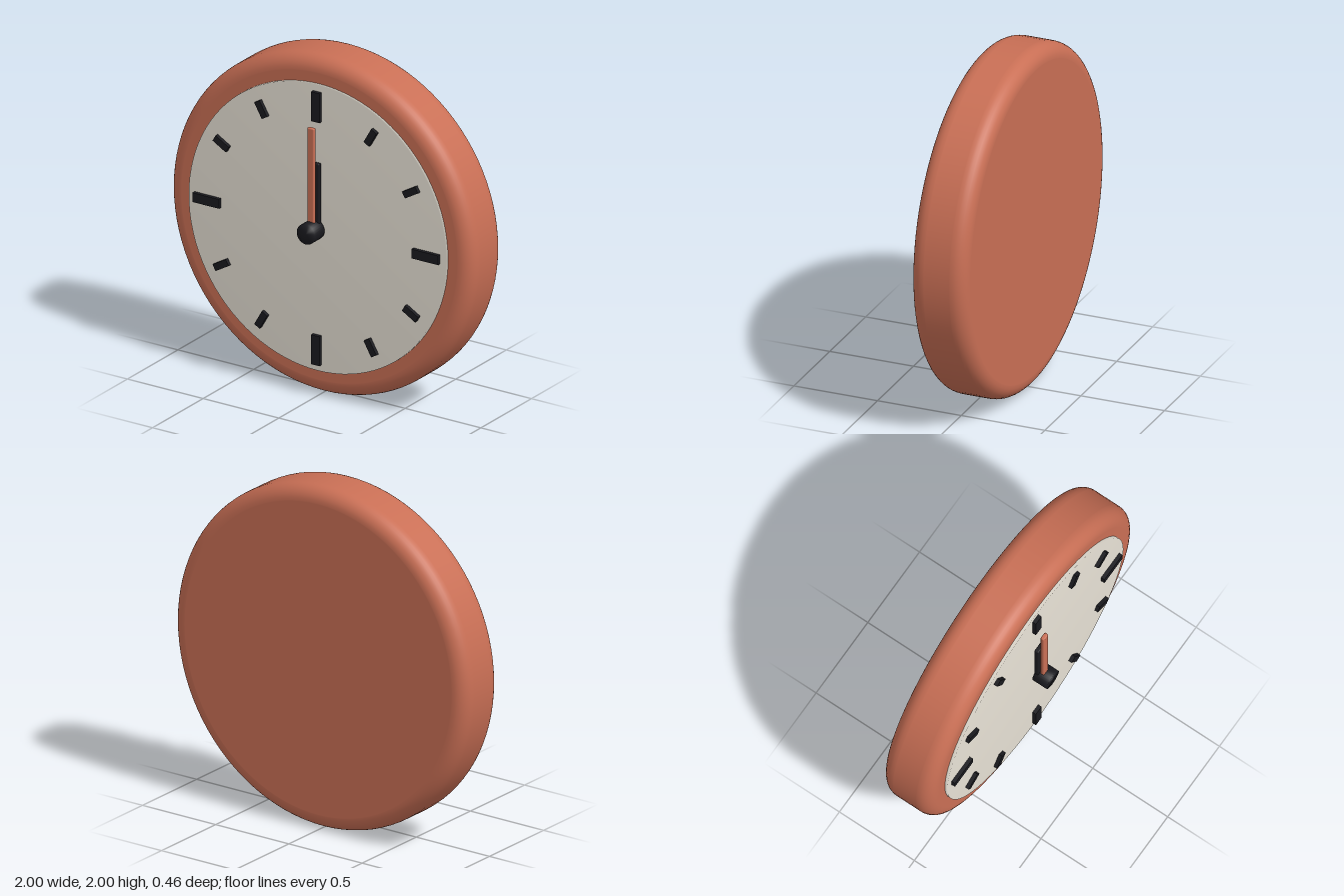
import * as THREE from 'three';
import { RoundedBoxGeometry } from 'three/addons/geometries/RoundedBoxGeometry.js';

const CENTRE_Y = 1;
const terracotta = new THREE.MeshStandardMaterial({ color: 0xc96f55 });
const ivory = new THREE.MeshStandardMaterial({ color: 0xe8e2d6 });
const black = new THREE.MeshStandardMaterial({ color: 0x1a1a1f });

// Round part turned about the z axis; profile points are [radius, z], back to front
function turned(name, profile, material, segments) {
  const points = profile.map(([r, z]) => new THREE.Vector2(r, z));
  const geometry = new THREE.LatheGeometry(points, segments).rotateX(Math.PI / 2);
  const mesh = new THREE.Mesh(geometry, material);
  mesh.name = name;
  return mesh;
}

// Profile of a solid disc with rounded rims
function roundedDisc(radius, back, front, bevel, steps = 8) {
  const profile = [[0, back], [radius - bevel - 0.005, back]];
  const corner = (z, start) => {
    for (let i = 0; i <= steps; i++) {
      const a = start + (i / steps) * Math.PI / 2;
      profile.push([radius - bevel + bevel * Math.cos(a), z + bevel * Math.sin(a)]);
    }
  };
  corner(back + bevel, -Math.PI / 2);
  profile.push([radius, back + bevel + 0.005], [radius, front - bevel - 0.005]);
  corner(front - bevel, 0);
  profile.push([radius - bevel - 0.005, front], [0, front]);
  return profile;
}

// Upright hand reaching from y0 to y1 above the dial centre
function hand(name, width, y0, y1, z0, z1, material) {
  const geometry = new RoundedBoxGeometry(width, y1 - y0, z1 - z0, 2, 0.007);
  const mesh = new THREE.Mesh(geometry, material);
  mesh.position.set(0, (y0 + y1) / 2, (z0 + z1) / 2);
  mesh.name = name;
  return mesh;
}

export function createModel() {
  const clock = new THREE.Group();
  clock.name = 'wallClock';
  clock.position.y = CENTRE_Y;

  // Case and dial
  clock.add(turned('case', roundedDisc(1, -0.23, 0.1, 0.085), terracotta, 96));
  clock.add(turned('dial', [[0.85, 0.09], [0.85, 0.118], [0, 0.118]], ivory, 96));

  // Hour markers, longer and wider at each quarter
  const markers = new THREE.Group();
  markers.name = 'hourMarkers';
  for (let i = 0; i < 12; i++) {
    const quarter = i % 3 === 0;
    const [width, length] = quarter ? [0.055, 0.175] : [0.04, 0.1];
    const radius = quarter ? 0.723 : 0.722;
    const angle = (i / 12) * Math.PI * 2;
    const marker = new THREE.Mesh(new THREE.BoxGeometry(width, length, 0.04), black);
    marker.position.set(Math.sin(angle) * radius, Math.cos(angle) * radius, 0.12);
    marker.rotation.z = -angle;
    marker.name = quarter ? 'quarterMarker' : 'hourMarker';
    markers.add(marker);
  }
  clock.add(markers);

  // Hands and the hub that holds them
  clock.add(hand('hourHand', 0.075, 0, 0.4, 0.135, 0.162, black));
  clock.add(hand('minuteHand', 0.045, 0, 0.615, 0.165, 0.19, terracotta));
  clock.add(turned('hub', [[0, 0.138], [0.06, 0.138], [0.06, 0.233], [0, 0.233]], black, 32));

  const model = new THREE.Group();
  model.name = 'clock';
  model.add(clock);
  return model;
}
